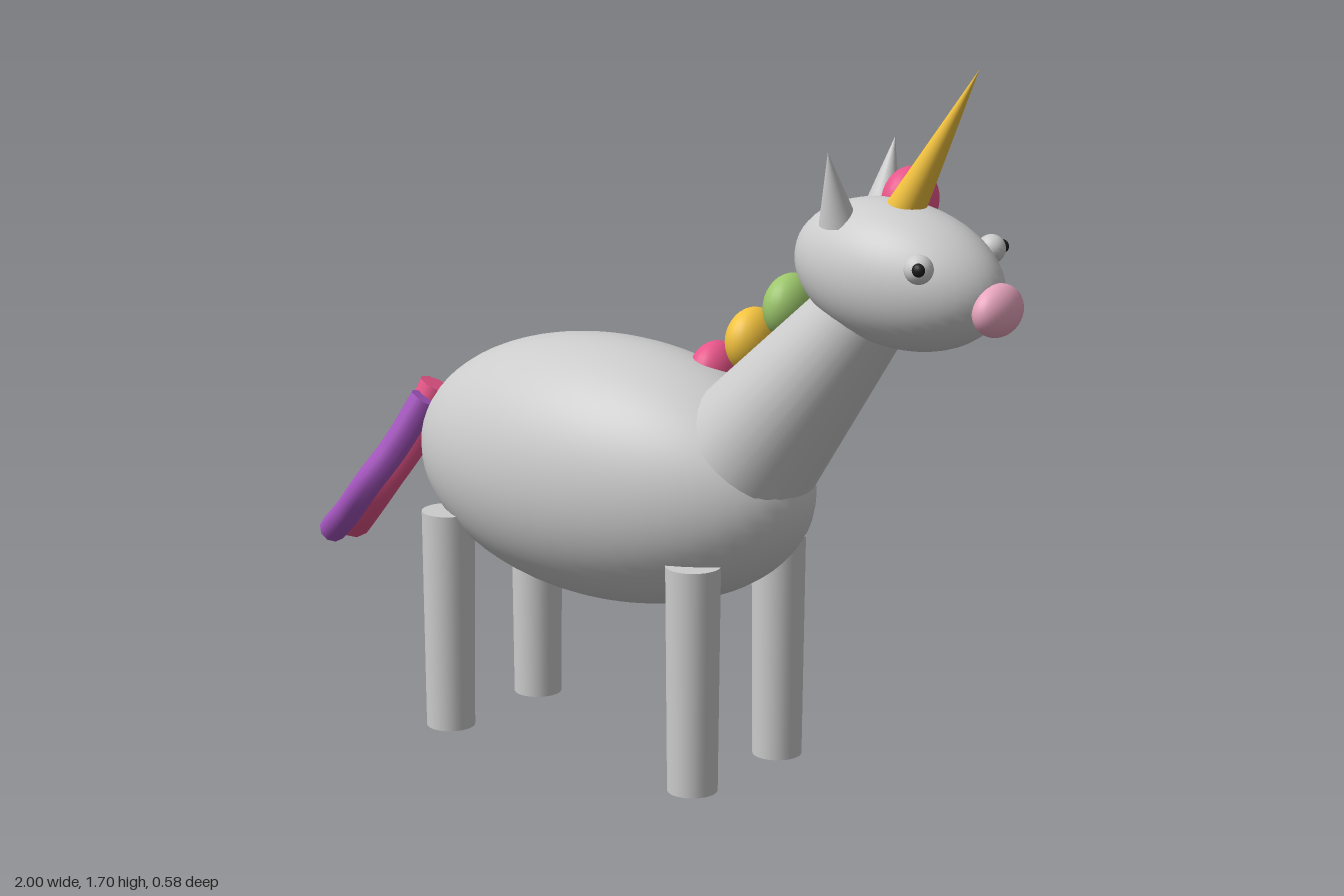
import * as THREE from 'three';

const V = (x, y, z) => new THREE.Vector3(x, y, z);
const mat = (color, side = THREE.FrontSide) => new THREE.MeshStandardMaterial({ color, side });
const GREY = mat(0xcccccc), GOLD = mat(0xf2c23e), PINK = mat(0xe8558a), BLACK = mat(0x1c1c1c);

export function createModel() {
  const root = new THREE.Group();

  const add = (name, geometry, material) => {
    const mesh = new THREE.Mesh(geometry, material);
    mesh.name = name;
    root.add(mesh);
    return mesh;
  };

  const ellipsoid = (name, center, radii, material = GREY, segments = 32) => {
    const mesh = add(name, new THREE.SphereGeometry(1, segments, segments * 0.75), material);
    mesh.position.copy(center);
    mesh.scale.copy(radii);
    return mesh;
  };

  // Tapered cylinder between two points; end radius 0 gives a cone
  const limb = (name, from, to, rFrom, rTo, material = GREY) => {
    const axis = to.clone().sub(from);
    const mesh = add(name, new THREE.CylinderGeometry(rTo, rFrom, axis.length(), 32), material);
    mesh.position.copy(from).add(to).multiplyScalar(0.5);
    mesh.quaternion.setFromUnitVectors(V(0, 1, 0), axis.normalize());
    return mesh;
  };

  // Body, neck and head, facing along +x
  ellipsoid('body', V(-0.1, 0.67, 0), V(0.545, 0.31, 0.288), GREY, 48);
  limb('neck', V(0.303, 0.782, 0), V(0.626, 1.161, 0), 0.167, 0.1);
  ellipsoid('head', V(0.695, 1.236, 0), V(0.258, 0.16, 0.157), GREY, 40).rotation.z = -0.14;
  ellipsoid('muzzle', V(0.95, 1.19, 0), V(0.045, 0.058, 0.075), mat(0xe8a5bd));
  limb('horn', V(0.698, 1.36, 0), V(0.89, 1.7, 0), 0.045, 0, GOLD);

  // Mirrored legs, ears and eyes
  for (const s of [1, -1]) {
    const side = s > 0 ? 'Right' : 'Left';
    limb('front' + side + 'Leg', V(0.26, 0, 0.162 * s), V(0.26, 0.533, 0.162 * s), 0.058, 0.063);
    limb('back' + side + 'Leg', V(-0.474, 0, 0.162 * s), V(-0.474, 0.533, 0.162 * s), 0.058, 0.063);
    limb('ear' + side, V(0.59, 1.35, 0.082 * s), V(0.592, 1.508, 0.126 * s), 0.042, 0);
    ellipsoid('eye' + side, V(0.84, 1.287, 0.139 * s), V(0.032, 0.032, 0.032), GREY, 20);
    ellipsoid('pupil' + side, V(0.854, 1.291, 0.161 * s), V(0.015, 0.015, 0.013), BLACK, 16);
  }

  // Mane of coloured beads running up one side of the neck
  const maneColors = [PINK, GOLD, mat(0x9cc66b), mat(0x3fb0e0), mat(0xa656c0), PINK];
  maneColors.forEach((material, i) => {
    ellipsoid('maneBead' + (i + 1), V(0.131 + 0.106 * i, 0.912 + 0.0935 * i, -0.088),
      V(0.055, 0.076, 0.079), material, 24);
  });

  // Tail of two wavy strands, closed at both ends
  const strand = (name, points, radius, color) => {
    const curve = new THREE.CatmullRomCurve3(points);
    const material = mat(color, THREE.DoubleSide);
    add(name, new THREE.TubeGeometry(curve, 32, radius, 10), material);
    for (const t of [0, 1]) {
      const cap = add(name + 'End', new THREE.CircleGeometry(radius, 10), material);
      cap.position.copy(curve.getPoint(t));
      cap.quaternion.setFromUnitVectors(V(0, 0, 1), curve.getTangent(t).multiplyScalar(t ? 1 : -1));
    }
  };
  strand('tailPinkStrand', [V(-0.65, 0.78, -0.003), V(-0.7, 0.655, 0.03), V(-0.77, 0.545, 0.058),
    V(-0.86, 0.455, 0.03), V(-0.975, 0.372, -0.045)], 0.045, 0xe8558a);
  strand('tailPurpleStrand', [V(-0.64, 0.76, 0.055), V(-0.7, 0.64, 0.095), V(-0.77, 0.54, 0.122),
    V(-0.86, 0.45, 0.095), V(-0.98, 0.366, 0.025)], 0.035, 0xa656c0);

  return root;
}
